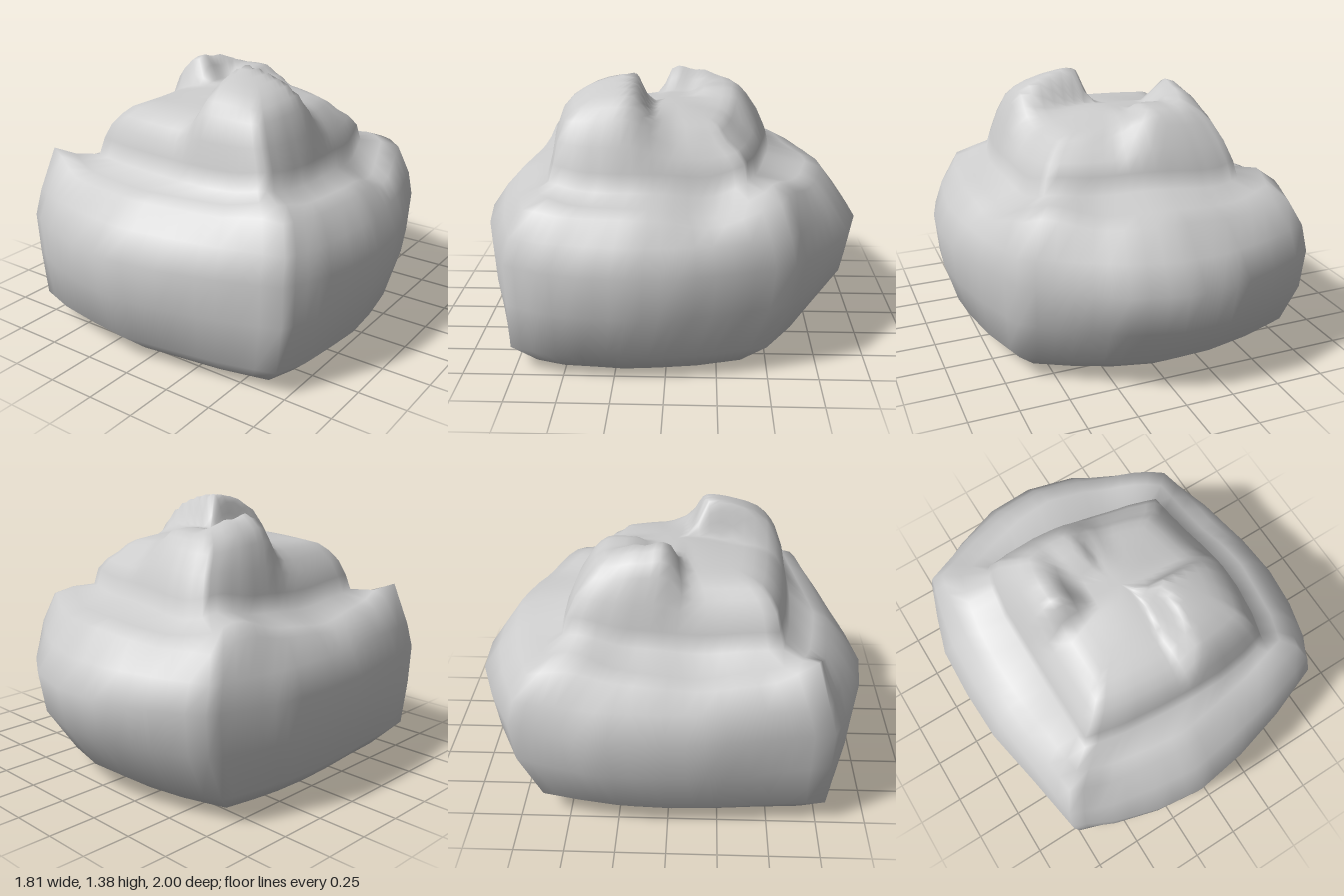
import * as THREE from 'three';

// Plan outlines (x, z pairs), 24 points each, corners at the same places in both
const BASE = [
  -0.9, -0.1, -0.89, -0.37, -0.83, -0.57, -0.76, -0.77, -0.5, -0.9, -0.25, -0.99,
  0, -1, 0.26, -0.93, 0.48, -0.79, 0.7, -0.62, 0.81, -0.33, 0.88, -0.06,
  0.9, 0.18, 0.88, 0.4, 0.83, 0.6, 0.74, 0.77, 0.45, 0.88, 0.16, 0.96,
  -0.11, 1, -0.35, 0.97, -0.58, 0.9, -0.78, 0.8, -0.83, 0.5, -0.89, 0.18];
const UPPER = [
  -0.53, -0.1, -0.53, -0.25, -0.51, -0.4, -0.48, -0.51, -0.37, -0.53, -0.24, -0.53,
  -0.05, -0.51, 0.15, -0.47, 0.33, -0.43, 0.48, -0.38, 0.52, -0.22, 0.55, -0.04,
  0.57, 0.12, 0.57, 0.28, 0.55, 0.43, 0.51, 0.56, 0.38, 0.59, 0.22, 0.61,
  0.05, 0.61, -0.13, 0.6, -0.33, 0.58, -0.53, 0.54, -0.53, 0.33, -0.53, 0.1];
const SPLIT = 3, N = 24 * SPLIT;

// Sections from bottom to top: outline, y, x scale, z scale, z shift, corner swell
const RINGS = [
  [BASE, 0, 0.75, 0.685, 0.085, 0.08],
  [BASE, 0.13, 0.905, 0.855, 0.065, 0.06],
  [BASE, 0.37, 0.985, 0.97, 0.01, 0.01],
  [BASE, 0.58, 1.005, 1, 0, 0],
  [BASE, 0.71, 0.94, 0.91, 0, 0.05],
  [BASE, 0.82, 0.85, 0.81, 0, 0.08],
  [BASE, 0.85, 0.77, 0.73, 0.01, 0.06],
  [UPPER, 0.89, 1.02, 1.02, 0, 0],
  [UPPER, 0.98, 0.98, 0.98, 0, 0],
  [UPPER, 1.08, 0.91, 0.92, 0.015, 0],
  [UPPER, 1.16, 0.83, 0.83, 0.03, 0],
  [UPPER, 1.2, 0.75, 0.75, 0.03, 0],
  [UPPER, 1.22, 0.66, 0.66, 0.02, 0],
  [UPPER, 1.225, 0.57, 0.57, 0.02, 0],
  [UPPER, 1.225, 0.47, 0.47, 0.02, 0],
  [UPPER, 1.225, 0.37, 0.37, 0.02, 0],
  [UPPER, 1.225, 0.28, 0.28, 0.02, 0],
  [UPPER, 1.225, 0.19, 0.19, 0.02, 0],
  [UPPER, 1.225, 0.1, 0.1, 0.02, 0]];

// Lumps and hollows on the ledge: x, z, radius, height
const LEDGE = [
  [-0.72, 0.72, 0.13, 0.12], [-0.62, -0.45, 0.16, 0.08], [0.52, -0.55, 0.18, 0.07],
  [0, -0.68, 0.3, 0.04], [0.66, -0.2, 0.16, -0.06], [0.56, 0.62, 0.14, 0.04],
  [-0.66, 0.15, 0.2, -0.04]];

const step = THREE.MathUtils.smoothstep;
const bump = (x, z, cx, cz, r) => Math.exp(-((x - cx) ** 2 + (z - cz) ** 2) / (r * r));

// Two raised blocks and two sunken shoulders, in opposite quarters of the summit
function summit(x, z) {
  const frontLeft = step(x, 0.04, 0.13) * step(z, 0.08, 0.17);
  const backRight = step(-x, 0.21, 0.28) * step(-z, -0.07, 0.02);
  const shelf = step(-x, 0.02, 0.08) * step(-z, 0.1, 0.19);
  const lowFront = (1 - step(x, 0.02, 0.12)) * step(z, 0, 0.1);
  const lowBack = step(x, -0.02, 0.1) * (1 - step(z, -0.05, 0.15));
  const out = step(Math.hypot(x, z), 0, 0.5);
  return 0.16 * frontLeft * bump(x, z, 0.12, 0.17, 0.36)
    + 0.12 * backRight * bump(x, z, -0.29, -0.02, 0.2)
    + 0.045 * shelf * bump(x, z, -0.15, -0.22, 0.3)
    - (0.05 * lowFront + 0.07 * lowBack) * out;
}

function lift(x, y, z) {
  let h = summit(x, z) * step(y, 1, 1.16);
  for (const [lx, lz, r, height] of LEDGE) h += height * bump(x, z, lx, lz, r) * step(y, 0.7, 0.83);
  return y + h;
}

// Point i of an outline divided into N steps, pushed out near the corners
function outlinePoint(outline, i, swell) {
  const f = i / SPLIT, k = Math.floor(f), n = (k + 1) % 24;
  const fromCorner = Math.abs(f % 6 - 3);
  const s = 1 + swell * Math.max(0, 1 - fromCorner / 2);
  return [0, 1].map(c => s * THREE.MathUtils.lerp(outline[2 * k + c], outline[2 * n + c], f - k));
}

export function createModel() {
  const group = new THREE.Group();
  group.name = 'steppedBoulder';

  // Rock skin lofted through all sections
  const points = [], index = [];
  RINGS.forEach(([outline, y, sx, sz, shift, swell], r) => {
    for (let i = 0; i < N; i++) {
      const [px, pz] = outlinePoint(outline, i, swell);
      const x = px * sx, z = pz * sz + shift;
      points.push(x, lift(x, y, z), z);
      if (r === 0) continue;
      const j = (i + 1) % N, low = (r - 1) * N, high = r * N;
      index.push(low + i, high + i, low + j, low + j, high + i, high + j);
    }
  });

  // Close the summit and the flat underside
  const apex = points.length / 3, last = apex - N;
  points.push(0, lift(0, 1.225, 0.02), 0.02, 0, 0, 0.085);
  for (let i = 0; i < N; i++) {
    const j = (i + 1) % N;
    index.push(last + i, apex, last + j, i, j, apex + 1);
  }

  const geometry = new THREE.BufferGeometry();
  geometry.setAttribute('position', new THREE.Float32BufferAttribute(points, 3));
  geometry.setIndex(index);
  geometry.computeVertexNormals();
  const rock = new THREE.Mesh(geometry, new THREE.MeshStandardMaterial({ color: 0xcccccc }));
  rock.name = 'rockBody';
  group.add(rock);
  return group;
}
